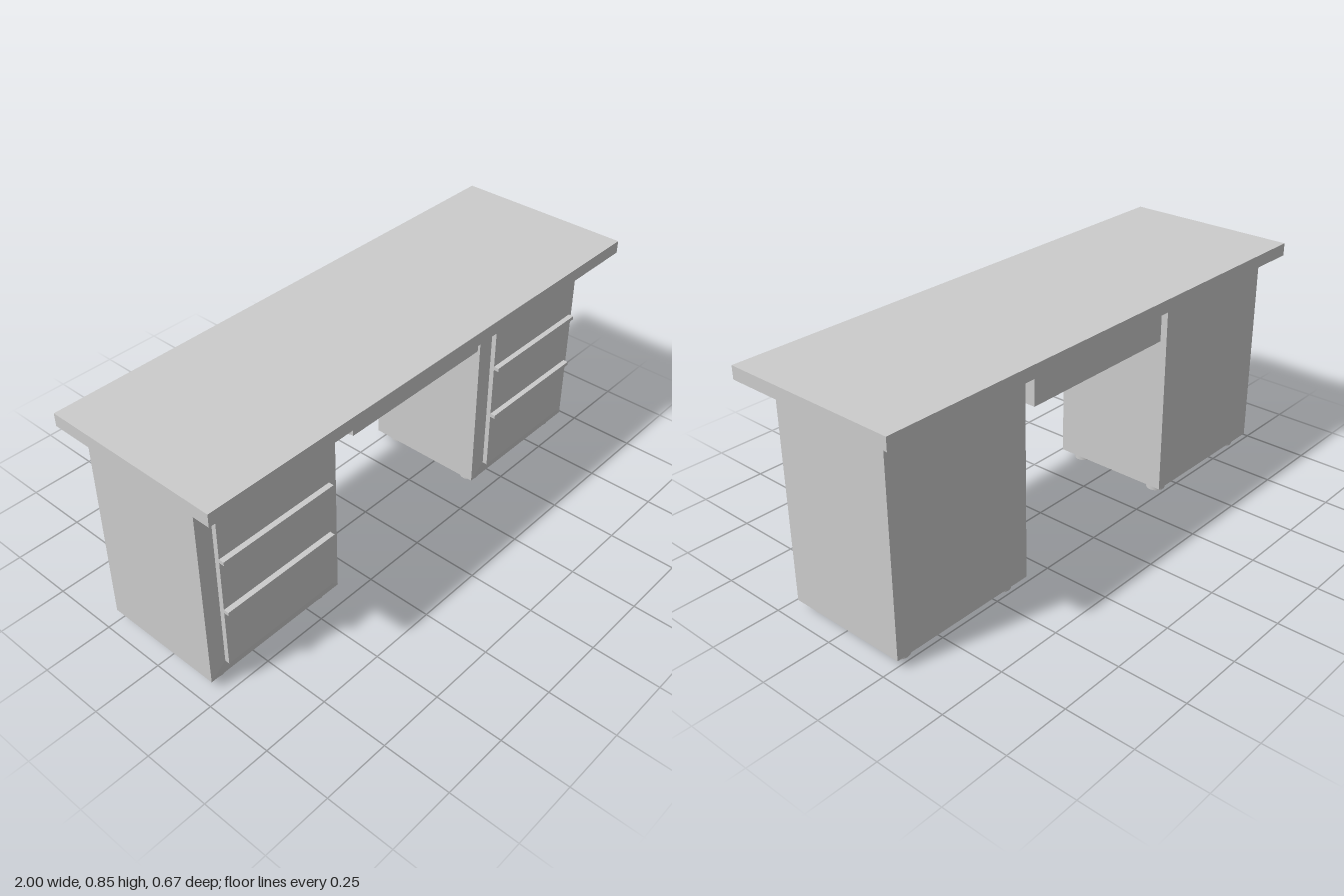
import * as THREE from 'three';

const material = new THREE.MeshStandardMaterial({ color: 0xcccccc, flatShading: true });

function add(parent, name, geometry, x = 0, y = 0, z = 0) {
  const mesh = new THREE.Mesh(geometry, material);
  mesh.name = name;
  mesh.position.set(x, y, z);
  parent.add(mesh);
  return mesh;
}

// Box given by its limits, centred on x
function slab(parent, name, width, y0, y1, z0, z1) {
  return add(parent, name, new THREE.BoxGeometry(width, y1 - y0, z1 - z0), 0, (y0 + y1) / 2, (z0 + z1) / 2);
}

// Closed body through rectangular rings from back to front: [halfWidth, y0, y1, zBottom, zTop]
function loft(rings) {
  const corners = rings.map(([w, y0, y1, zb, zt]) => [[-w, y0, zb], [w, y0, zb], [w, y1, zt], [-w, y1, zt]]);
  const positions = [];
  const quad = (a, b, c, d) => [a, b, c, a, c, d].forEach((p) => positions.push(...p));
  for (let r = 0; r < corners.length - 1; r++) {
    const a = corners[r], b = corners[r + 1];
    for (let i = 0; i < 4; i++) {
      const j = (i + 1) % 4;
      quad(a[i], a[j], b[j], b[i]);
    }
  }
  quad(...[...corners[0]].reverse());
  quad(...corners[corners.length - 1]);
  const geometry = new THREE.BufferGeometry();
  geometry.setAttribute('position', new THREE.Float32BufferAttribute(positions, 3));
  geometry.computeVertexNormals();
  return geometry;
}

function createPedestal() {
  const pedestal = new THREE.Group();
  // Cabinet with a slightly raised, bevelled front
  add(pedestal, 'cabinet', loft([
    [0.29, 0.035, 0.8, -0.262, -0.262],
    [0.29, 0.035, 0.8, 0.205, 0.205],
    [0.233, 0.093, 0.744, 0.212, 0.212],
  ]));
  // Three drawer fronts, each with a pull strip along its top edge
  const edges = [0.093, 0.332, 0.54, 0.744];
  for (let i = 0; i < 3; i++) {
    slab(pedestal, 'drawerFront', 0.466, edges[i], edges[i + 1], 0.205, 0.23);
    slab(pedestal, 'drawerPull', 0.466, edges[i + 1] - 0.014, edges[i + 1], 0.225, 0.25);
  }
  // Round feet
  const foot = new THREE.CylinderGeometry(0.035, 0.035, 0.036, 32);
  for (const x of [-0.228, 0.228]) {
    for (const z of [-0.202, 0.148]) {
      add(pedestal, 'foot', foot, x, 0.018, z).material = footMaterial;
    }
  }
  return pedestal;
}

const footMaterial = new THREE.MeshStandardMaterial({ color: 0xcccccc });

export function createModel() {
  const desk = new THREE.Group();
  desk.name = 'desk';

  slab(desk, 'desktop', 2, 0.8, 0.847, -0.335, 0.335);

  for (const side of [-1, 1]) {
    const pedestal = createPedestal();
    pedestal.name = side > 0 ? 'leftPedestal' : 'rightPedestal';
    pedestal.position.x = side * 0.66;
    desk.add(pedestal);
  }

  // Centre drawer with a front rim leaning forward at the top
  const centre = new THREE.Group();
  centre.name = 'centreDrawer';
  add(centre, 'drawerBody', loft([
    [0.33, 0.652, 0.8, -0.264, -0.264],
    [0.33, 0.652, 0.8, 0.17, 0.25],
    [0.317, 0.662, 0.77, 0.222, 0.222],
  ]));
  slab(centre, 'drawerFront', 0.634, 0.662, 0.782, 0.21, 0.233);
  slab(centre, 'drawerPull', 0.634, 0.763, 0.782, 0.225, 0.258);
  desk.add(centre);

  return desk;
}
